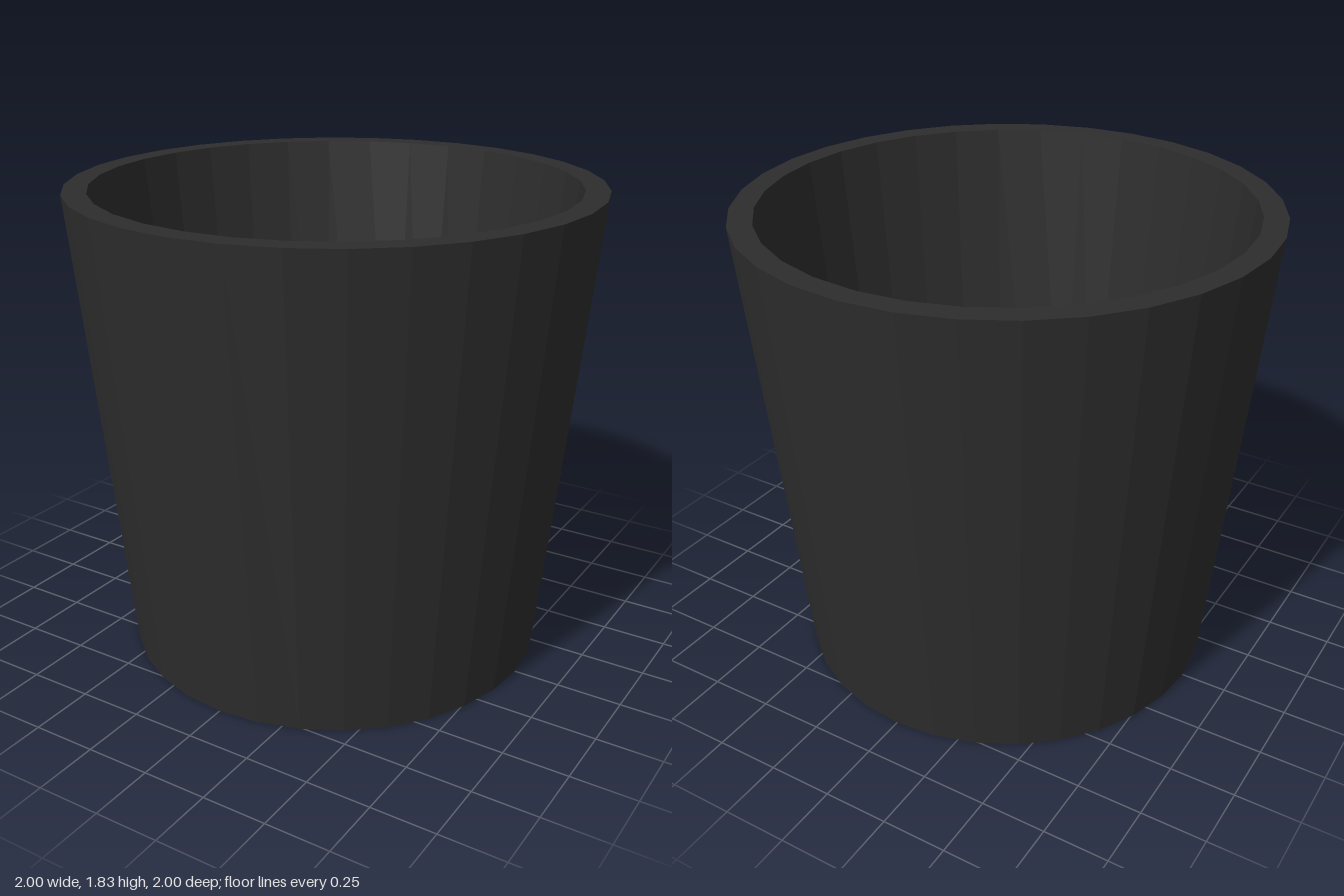
import * as THREE from 'three';

const SIDES = 32;
const HEIGHT = 1.83;
const FLOOR = 0.2;

export function createModel() {
  const group = new THREE.Group();
  group.name = 'plantPot';
  const material = new THREE.MeshStandardMaterial({ color: 0x2d2d2d, flatShading: true });

  const addLathe = (name, points) => {
    const profile = points.map(([r, y]) => new THREE.Vector2(r, y));
    const mesh = new THREE.Mesh(new THREE.LatheGeometry(profile, SIDES), material);
    mesh.name = name;
    group.add(mesh);
  };

  // tapered shell: outer wall, flat rim, inner wall
  addLathe('wall', [[0.82, 0], [1, HEIGHT], [0.91, HEIGHT], [0.75, FLOOR]]);

  // discs closing the shell inside and underneath
  const addDisc = (name, radius, y, tilt) => {
    const geometry = new THREE.CircleGeometry(radius, SIDES).rotateX(tilt);
    const mesh = new THREE.Mesh(geometry, material);
    mesh.name = name;
    mesh.position.y = y;
    group.add(mesh);
  };
  addDisc('innerFloor', 0.75, FLOOR, -Math.PI / 2);
  addDisc('base', 0.82, 0, Math.PI / 2);

  return group;
}
